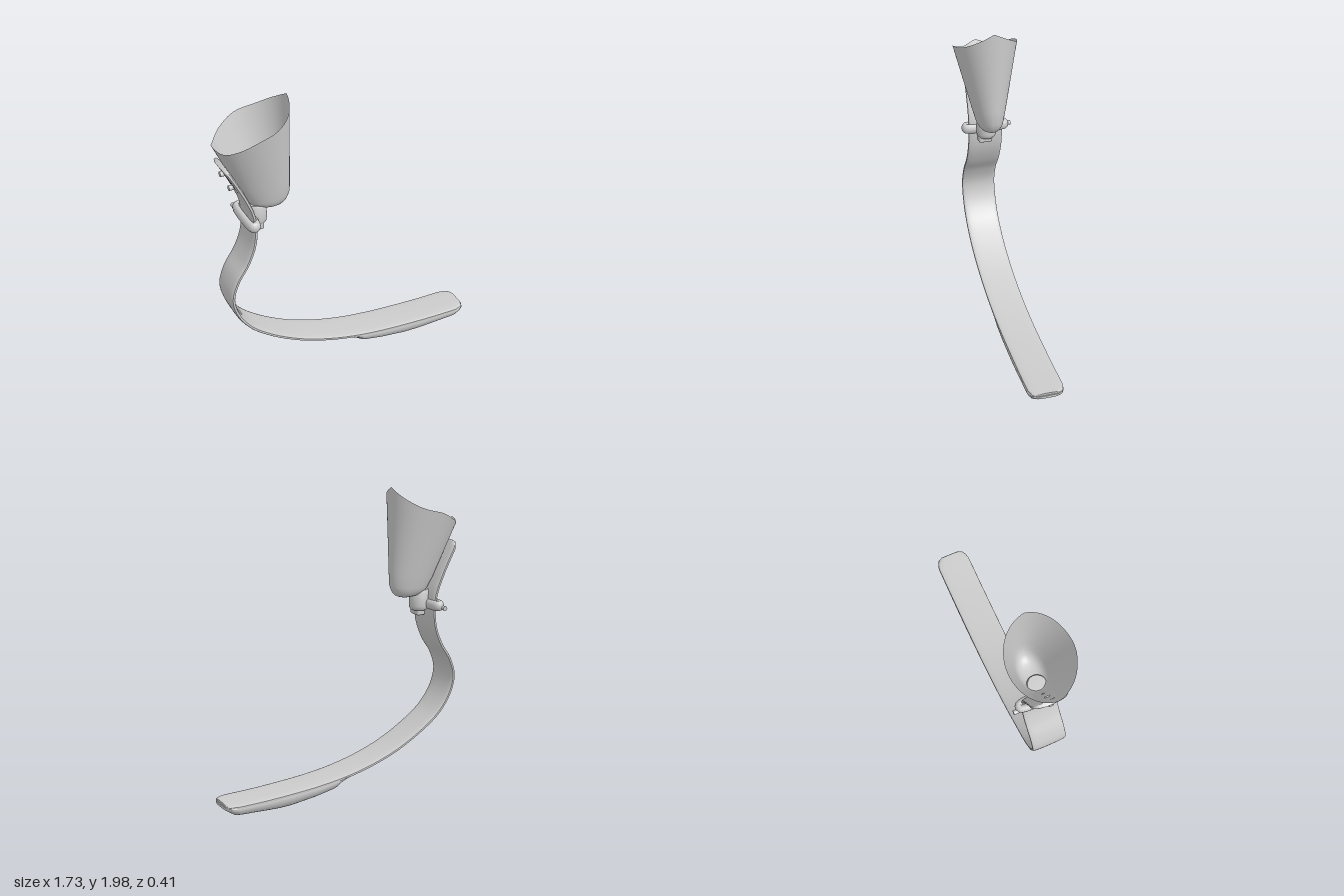
import * as THREE from 'three';
import { toCreasedNormals } from 'three/addons/utils/BufferGeometryUtils.js';
import { RoundedBoxGeometry } from 'three/addons/geometries/RoundedBoxGeometry.js';

const grey = new THREE.MeshStandardMaterial({ color: 0xcccccc });
const greyThin = new THREE.MeshStandardMaterial({ color: 0xcccccc, side: THREE.DoubleSide });
const { lerp, smoothstep } = THREE.MathUtils;

function add(parent, name, geometry, x = 0, y = 0, z = 0, material = grey) {
  const mesh = new THREE.Mesh(geometry, material);
  mesh.name = name;
  mesh.position.set(x, y, z);
  parent.add(mesh);
  return mesh;
}

// Skin over closed rings of Vector3; the ends are closed at the ring centres if asked
function loft(rings, capStart, capEnd, crease = 0.7) {
  const n = rings[0].length;
  const closing = ring => {
    const c = ring.reduce((s, p) => s.add(p), new THREE.Vector3()).divideScalar(n);
    return ring.map(() => c);
  };
  const all = [...rings];
  if (capStart) all.unshift(closing(rings[0]));
  if (capEnd) all.push(closing(rings[rings.length - 1]));
  const index = [];
  for (let i = 0; i < all.length - 1; i++) {
    for (let j = 0; j < n; j++) {
      const a = i * n + j, b = i * n + (j + 1) % n;
      index.push(a, b, a + n, b, b + n, a + n);
    }
  }
  const geometry = new THREE.BufferGeometry().setFromPoints(all.flat());
  geometry.setIndex(index);
  return toCreasedNormals(geometry, crease);
}

const curve2 = pts => new THREE.CatmullRomCurve3(pts.map(([x, y]) => new THREE.Vector3(x, y, 0)));
const power = (v, p) => Math.sign(v) * Math.abs(v) ** p;
// Piecewise linear lookup in [key, value] pairs
function lookup(table, k) {
  let i = 0;
  while (i < table.length - 2 && k > table[i + 1][0]) i++;
  const [a, b] = [table[i], table[i + 1]];
  return lerp(a[1], b[1], (k - a[0]) / (b[0] - a[0]));
}

// Half width factor for rounded corners, d = distance from the end
const corner = (d, r) => d >= r ? 1 : 0.55 + 0.45 * Math.sqrt(1 - (1 - d / r) ** 2);

function createSocket() {
  const rim = curve2([[0, 1.99], [30, 1.925], [60, 1.868], [90, 1.832], [120, 1.775], [150, 1.735], [180, 1.755]]);
  // keyed by height
  const left = [[1.265, -0.56], [1.275, -0.6], [1.3, -0.648], [1.35, -0.685], [1.75, -0.868], [2, -0.97]];
  const right = [[1.265, -0.46], [1.275, -0.43], [1.3, -0.405], [1.35, -0.387], [2, -0.385]];
  const depth = [[1.265, 0.035], [1.275, 0.058], [1.3, 0.08], [1.35, 0.095], [1.83, 0.206], [2, 0.245]];
  const steps = [0, 0.008, 0.02, 0.045, 0.08, 0.12, 0.25, 0.4, 0.55, 0.7, 0.85, 1];
  const rings = steps.map(t => Array.from({ length: 64 }, (_, j) => {
    const a = j / 64 * Math.PI * 2;
    const fold = 1 - Math.abs(1 - a / Math.PI);
    const y = lerp(1.265, rim.getPoint(fold).y, t);
    const l = lookup(left, y), r = lookup(right, y);
    return new THREE.Vector3((l + r) / 2 + (r - l) / 2 * Math.cos(a), y, -lookup(depth, y) * Math.sin(a));
  }));
  return loft(rings, true, false, 1.2);
}

function createBlade() {
  const path = curve2([[-0.822, 1.615], [-0.76, 1.5], [-0.708, 1.39], [-0.668, 1.28], [-0.656, 1.17],
    [-0.672, 1.05], [-0.722, 0.93], [-0.793, 0.82], [-0.83, 0.7], [-0.803, 0.58], [-0.723, 0.46],
    [-0.6, 0.362], [-0.4, 0.253], [-0.2, 0.182], [0, 0.137], [0.2, 0.112], [0.4, 0.1], [0.6, 0.094], [0.855, 0.095]]);
  const length = path.getLength(), rings = [], steps = 140;
  for (let i = 0; i <= steps; i++) {
    // extra rings gather at both ends for the rounded corners
    const s = i / steps, u = lerp(s, smoothstep(s, 0, 1), 0.7);
    const p = path.getPointAt(u), t = path.getTangentAt(u);
    const half = 0.117 * corner(u * length, 0.07) * corner((1 - u) * length, 0.09);
    const zc = lerp(-0.015, 0.012, Math.min(1, u * 2));
    rings.push(Array.from({ length: 28 }, (_, j) => {
      const a = j / 28 * Math.PI * 2;
      const h = 0.016 * power(Math.cos(a), 0.6);
      return new THREE.Vector3(p.x - t.y * h, p.y + t.x * h, zc + half * power(Math.sin(a), 0.6));
    }));
  }
  return loft(rings, true, true);
}

const soleBottom = [[-0.03, 0.128], [0.02, 0.105], [0.08, 0.062], [0.22, 0.036], [0.4, 0.016],
  [0.5, 0.015], [0.76, 0.032], [0.8, 0.038], [0.862, 0.078]];
const soleTop = [[-0.03, 0.142], [0.2, 0.11], [0.4, 0.1], [0.6, 0.094], [0.862, 0.096]];

function createSole() {
  const rings = [];
  for (let i = 0; i <= 60; i++) {
    const x = lerp(-0.03, 0.862, i / 60);
    const top = lookup(soleTop, x), low = lookup(soleBottom, x);
    const half = 0.117 * corner(0.862 - x, 0.09);
    // half of the section, mirrored: [width factor, height factor]
    const side = [[0.5, 1], [0.97, 1], [1, 0.85], [0.98, 0.55], [0.83, 0.14], [0.72, 0.03], [0.35, 0]];
    const section = [...side, ...side.map(([w, h]) => [-w, h]).reverse()];
    rings.push(section.map(([w, h]) => new THREE.Vector3(x, lerp(low, top, h), 0.012 + w * half)));
  }
  return loft(rings, true, true, 0.5);
}

export function createModel() {
  const model = new THREE.Group();
  model.name = 'runningBladeLeg';

  add(model, 'socket', createSocket(), 0, 0, 0, greyThin);
  add(model, 'blade', createBlade());

  // Sole pad with lengthwise tread ribs
  const foot = new THREE.Group();
  foot.name = 'foot';
  model.add(foot);
  add(foot, 'solePad', createSole());
  for (const z of [-0.06, -0.03, 0, 0.03, 0.06]) {
    const pts = [0.1, 0.25, 0.4, 0.5, 0.65, 0.77].map(x => new THREE.Vector3(x, lookup(soleBottom, x) + 0.001, z + 0.012));
    add(foot, 'treadRib', new THREE.TubeGeometry(new THREE.CatmullRomCurve3(pts), 24, 0.007, 6));
  }

  // Connector under the socket
  const connector = new THREE.Group();
  connector.name = 'connector';
  model.add(connector);
  const hub = [[0, 0], [0.052, 0], [0.062, 0.012], [0.065, 0.03], [0.065, 0.125], [0.058, 0.138], [0, 0.14]];
  add(connector, 'hub', toCreasedNormals(new THREE.LatheGeometry(hub.map(([r, y]) => new THREE.Vector2(r, y)), 32), 0.7), -0.61, 1.165, 0);
  add(connector, 'hubKnob', new RoundedBoxGeometry(0.06, 0.06, 0.09, 3, 0.01), -0.61, 1.158, 0.01);

  // Clamp band looping around the blade
  const loop = [];
  for (let i = 0; i < 24; i++) {
    const a = i / 24 * Math.PI * 2;
    loop.push(new THREE.Vector3(0.024 * power(Math.cos(a), 0.6), 0, 0.138 * power(Math.sin(a), 0.6)));
  }
  const band = add(connector, 'clampBand', new THREE.TubeGeometry(new THREE.CatmullRomCurve3(loop, true), 96, 0.024, 12, true), -0.672, 1.208, -0.008);
  band.scale.y = 1.4;
  const screw = add(connector, 'clampScrew', new THREE.CylinderGeometry(0.015, 0.015, 0.1, 16), -0.69, 1.197, -0.14);
  screw.rotation.x = Math.PI / 2;

  // Bolts fixing the blade to the socket
  for (const [x, y] of [[-0.795, 1.545], [-0.745, 1.435]]) {
    const bolt = add(model, 'bolt', new THREE.CylinderGeometry(0.017, 0.017, 0.06, 16), x, y, -0.015);
    bolt.rotation.z = Math.PI / 2;
  }
  return model;
}
